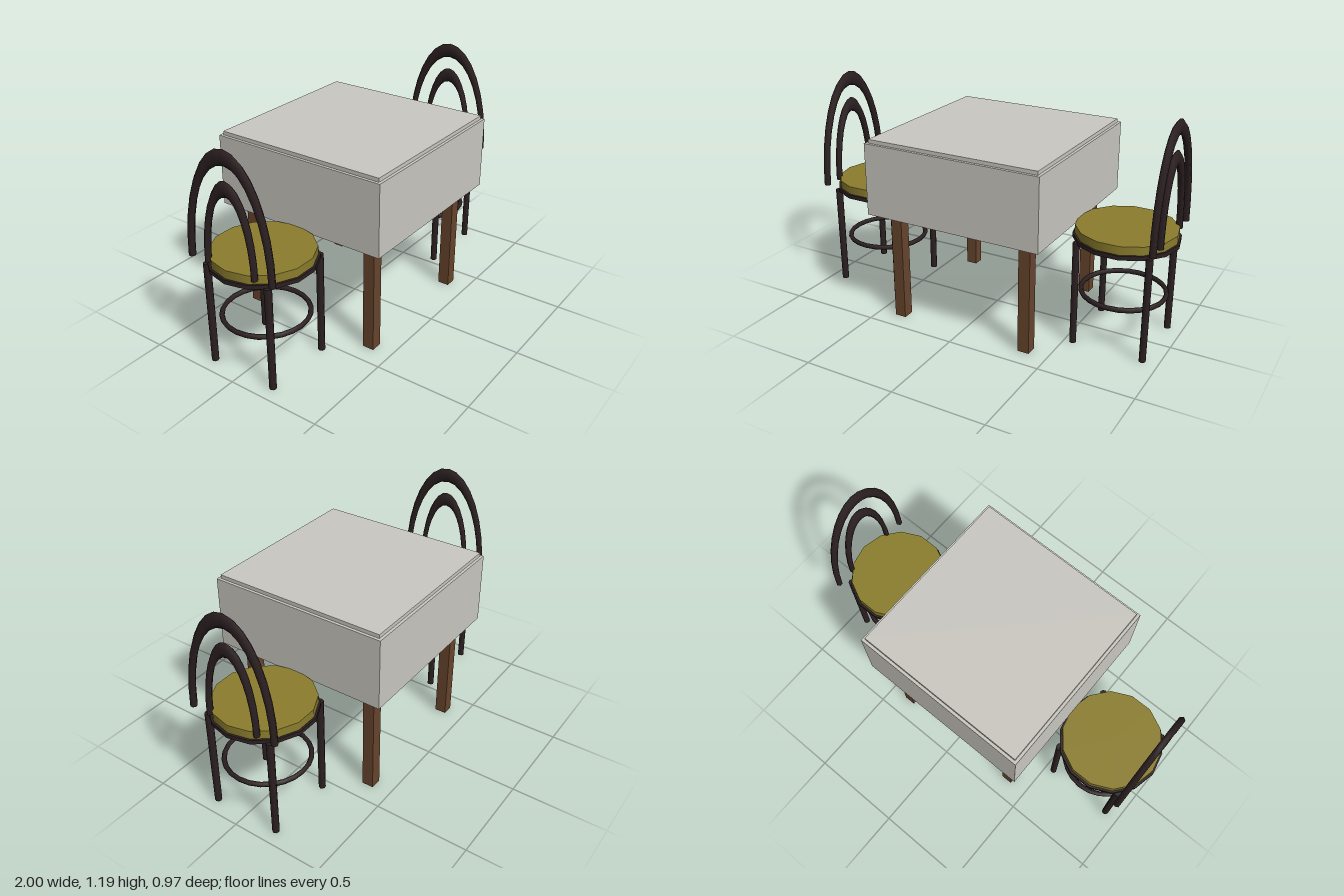
import * as THREE from 'three';

const cloth = new THREE.MeshStandardMaterial({ color: 0xcac8c1 });
cloth.name = 'cloth';
const wood = new THREE.MeshStandardMaterial({ color: 0x68452d });
wood.name = 'wood';
const darkWood = new THREE.MeshStandardMaterial({ color: 0x2c2021, side: THREE.DoubleSide });
darkWood.name = 'darkWood';
const cushionFabric = new THREE.MeshStandardMaterial({ color: 0x8b7d2d });
cushionFabric.name = 'cushionFabric';

function add(parent, name, geometry, material, x = 0, y = 0, z = 0) {
  const mesh = new THREE.Mesh(geometry, material);
  mesh.name = name;
  mesh.position.set(x, y, z);
  parent.add(mesh);
  return mesh;
}

// calls fn at the four corners of a square
function corners(d, fn) {
  for (const sx of [-1, 1]) for (const sz of [-1, 1]) fn(sx * d, sz * d);
}

function createTable() {
  const table = new THREE.Group();
  table.name = 'table';
  add(table, 'tablecloth', new THREE.BoxGeometry(0.97, 0.38, 0.97), cloth, 0, 0.79, 0);
  add(table, 'tableTop', new THREE.BoxGeometry(0.94, 0.02, 0.94), cloth, 0, 0.99, 0);
  corners(0.372, (x, z) =>
    add(table, 'tableLeg', new THREE.BoxGeometry(0.062, 0.6, 0.062), wood, x, 0.3, z));
  return table;
}

// half torus stretched upwards, standing in the z-y plane
function backArch(radius, tube, height) {
  return new THREE.TorusGeometry(radius, tube, 6, 16, Math.PI)
    .scale(1, height / radius, 0.018 / tube)
    .rotateY(Math.PI / 2);
}

// disc with a corner pointing along x
function disc(radius, height) {
  return new THREE.CylinderGeometry(radius, radius, height, 14).rotateY(Math.PI / 2);
}

// chair with its back on the +x side
function createChair() {
  const chair = new THREE.Group();
  chair.name = 'chair';
  add(chair, 'seatRim', disc(0.268, 0.022), darkWood, 0, 0.56, 0);
  add(chair, 'cushion', disc(0.257, 0.045), cushionFabric, 0, 0.5925, 0);
  corners(0.187, (x, z) =>
    add(chair, 'chairLeg', new THREE.CylinderGeometry(0.019, 0.018, 0.555, 8), darkWood, x, 0.2775, z));
  add(chair, 'footRing', new THREE.TorusGeometry(0.216, 0.013, 6, 24).rotateX(Math.PI / 2), darkWood, 0, 0.259, 0);
  add(chair, 'outerBackArch', backArch(0.244, 0.0175, 0.555), darkWood, 0.218, 0.595, 0);
  add(chair, 'innerBackArch', backArch(0.141, 0.0137, 0.408), darkWood, 0.218, 0.593, 0);
  return chair;
}

export function createModel() {
  const model = new THREE.Group();
  model.name = 'tableWithChairs';
  model.add(createTable());
  for (const side of [-1, 1]) {
    const chair = createChair();
    chair.name = side > 0 ? 'leftChair' : 'rightChair';
    chair.position.x = side * 0.732;
    if (side < 0) chair.rotation.y = Math.PI;
    model.add(chair);
  }
  return model;
}
